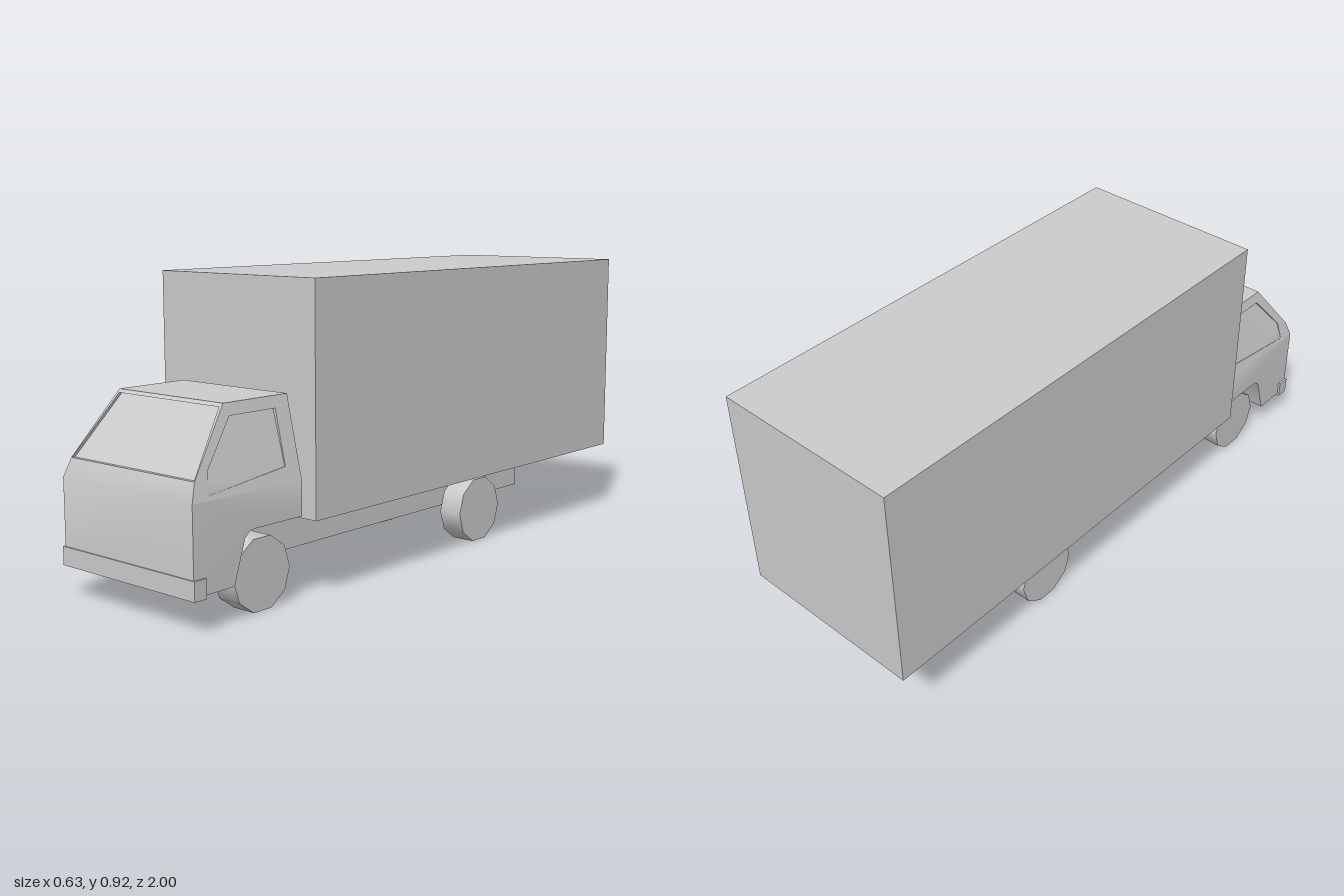
import * as THREE from 'three';
import { mergeGeometries, toCreasedNormals } from 'three/addons/utils/BufferGeometryUtils.js';

const material = new THREE.MeshStandardMaterial({ color: 0xcccccc });

// Half widths of the cab: the outer skin and the recessed glass, both tapering above the waist
const WAIST = 0.355, ROOF = 0.595;
const taper = (y, top) => THREE.MathUtils.lerp(0.27, top, THREE.MathUtils.clamp((y - WAIST) / (ROOF - WAIST), 0, 1));
const skin = y => taper(y, 0.215);
const glass = y => taper(y, 0.204);

const points = list => list.map(([z, y]) => new THREE.Vector2(z, y));

// Extrudes a (z, y) profile across x, then places its two faces at left(y) and right(y)
function acrossX(profile, right, left, hole) {
  const shape = new THREE.Shape(points(profile));
  if (hole) shape.holes.push(new THREE.Path(points(hole)));
  const geometry = new THREE.ExtrudeGeometry(shape, { depth: 1, bevelEnabled: false });
  geometry.rotateY(-Math.PI / 2);
  const p = geometry.attributes.position;
  for (let i = 0; i < p.count; i++) {
    const y = p.getY(i);
    p.setX(i, THREE.MathUtils.lerp(right(y), left(y), p.getX(i) + 1));
  }
  geometry.computeVertexNormals();
  return geometry;
}

export function createModel() {
  const truck = new THREE.Group();
  truck.name = 'boxTruck';

  const add = (name, geometry, parent = truck) => {
    const mesh = new THREE.Mesh(geometry, material);
    mesh.name = name;
    parent.add(mesh);
    return mesh;
  };
  const block = (name, halfWidth, y0, y1, z0, z1) =>
    add(name, new THREE.BoxGeometry(2 * halfWidth, y1 - y0, z1 - z0))
      .position.set(0, (y0 + y1) / 2, (z0 + z1) / 2);

  block('cargoBox', 0.313, 0.24, 0.92, -1, 0.573);
  block('chassis', 0.147, 0.12, 0.275, -0.665, 0.84);
  block('bumper', 0.277, 0.097, 0.153, 0.957, 1);

  // Cab: lower body with wheel arch, and upper body with an inset windscreen
  const cab = new THREE.Group();
  cab.name = 'cab';
  truck.add(cab);
  const lower = [[0.585, WAIST], [0.585, 0.25], [0.765, 0.25], [0.79, 0.247], [0.808, 0.232],
    [0.85, 0.105], [0.996, 0.105], [0.996, WAIST]];
  const upper = [[0.585, WAIST], [0.996, WAIST], [0.975, 0.41], [0.964, 0.41], [0.827, 0.585],
    [0.838, 0.585], [0.83, ROOF], [0.585, ROOF]];
  const body = mergeGeometries([lower, upper].map(p => acrossX(p, y => -glass(y), glass)));
  add('cabBody', toCreasedNormals(body, 0.6), cab);

  // Side panels stand proud of the glass and frame the side windows
  const panel = [[0.585, WAIST], [0.996, WAIST], [0.975, 0.41], [0.83, ROOF], [0.585, ROOF]];
  const opening = [[0.64, 0.56], [0.815, 0.56], [0.925, 0.43], [0.935, 0.368], [0.64, 0.4]];
  add('leftSidePanel', acrossX(panel, glass, skin, opening), cab);
  add('rightSidePanel', acrossX(panel, y => -skin(y), y => -glass(y), opening), cab);

  // Ten-sided wheels
  const wheel = new THREE.CylinderGeometry(0.11, 0.11, 0.08, 10).rotateZ(Math.PI / 2);
  for (const [end, z] of [['front', 0.715], ['rear', -0.315]])
    for (const [side, x] of [['Left', 0.2], ['Right', -0.2]])
      add(`${end}${side}Wheel`, wheel).position.set(x, 0.105, z);

  return truck;
}
